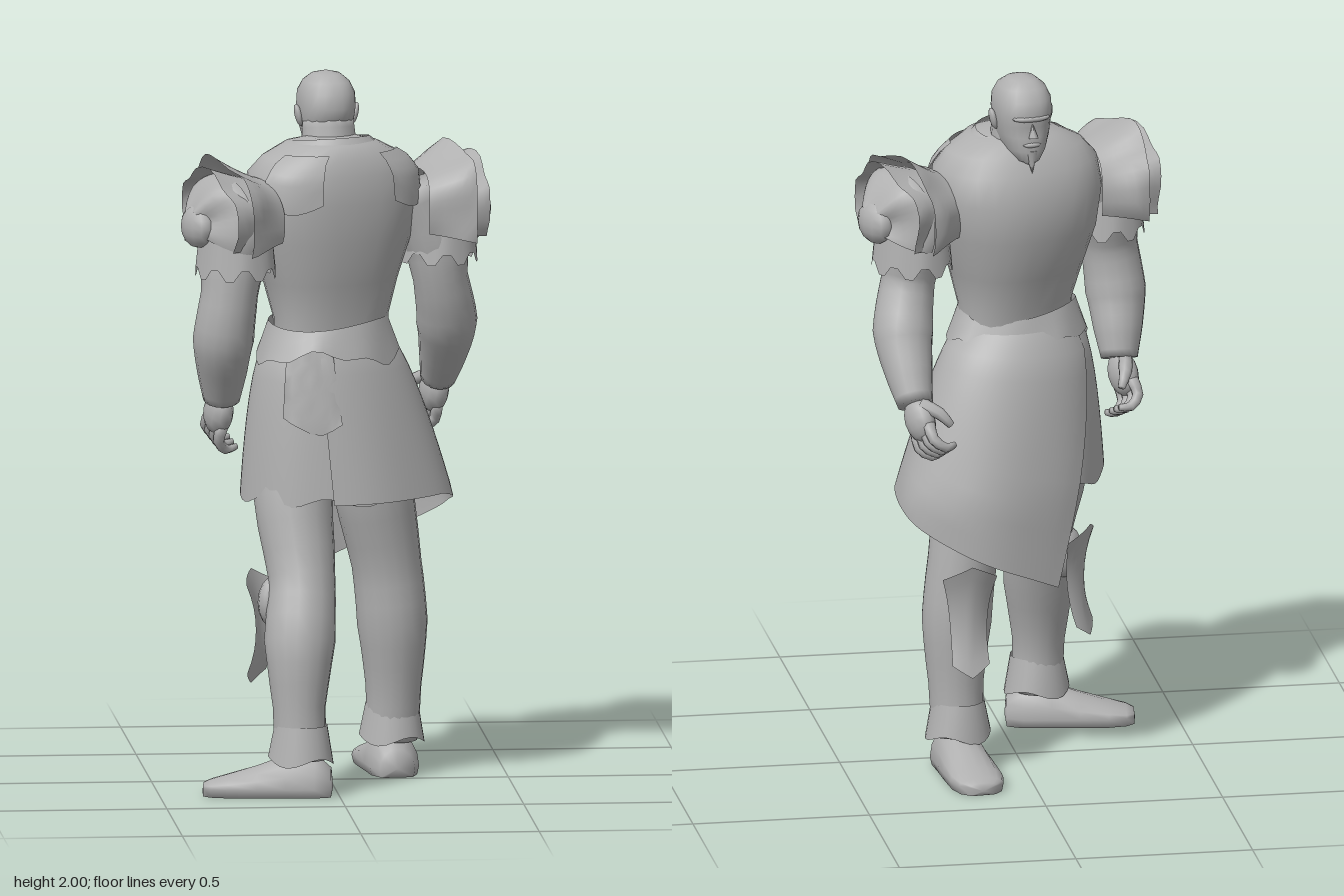
import * as THREE from 'three';
import { mergeVertices } from 'three/addons/utils/BufferGeometryUtils.js';

const grey = new THREE.MeshStandardMaterial({ color: 0xb0b0b0, side: THREE.DoubleSide });
grey.name = 'plain grey';
const RAD = Math.PI / 180, YAW = Math.PI + 0.41;
const lerp = THREE.MathUtils.lerp;

function add(parent, name, geometry, x = 0, y = 0, z = 0) {
  const m = new THREE.Mesh(geometry, grey);
  m.name = name;
  m.position.set(x, y, z);
  parent.add(m);
  return m;
}

function group(parent, name, x = 0, y = 0, z = 0, yaw = 0) {
  const g = new THREE.Group();
  g.name = name;
  g.position.set(x, y, z);
  g.rotation.y = yaw;
  parent.add(g);
  return g;
}

// Smooth grid surface from a function (u, v) -> [x, y, z]
function loft(nu, nv, f) {
  const pos = [], idx = [];
  for (let j = 0; j <= nv; j++) for (let i = 0; i <= nu; i++) pos.push(...f(i / nu, j / nv));
  for (let j = 0; j < nv; j++) for (let i = 0; i < nu; i++) {
    const a = j * (nu + 1) + i, b = a + nu + 1;
    idx.push(a, a + 1, b + 1, a, b + 1, b);
  }
  let g = new THREE.BufferGeometry();
  g.setAttribute('position', new THREE.Float32BufferAttribute(pos, 3));
  g.setIndex(idx);
  g = mergeVertices(g, 1e-4);
  g.computeVertexNormals();
  return g;
}

// Interpolates rows [key, a, b, ...] at a key value
function sample(rows, k) {
  let i = 0;
  while (i < rows.length - 2 && k > rows[i + 1][0]) i++;
  const p = rows[i], q = rows[i + 1];
  const t = THREE.MathUtils.clamp((k - p[0]) / (q[0] - p[0]), 0, 1);
  return p.map((n, c) => lerp(n, q[c], t));
}

const soft = (n, e) => Math.sign(n) * Math.abs(n) ** e;

// Point on a body section: rows are [y, half width, front depth, back depth]
function sectionPoint(rows, a, y, grow = 0) {
  const [, w, f, b] = sample(rows, y), c = Math.cos(a);
  return [soft(Math.sin(a), 0.85) * (w + grow), y, soft(c, 0.85) * ((c > 0 ? f : b) + grow)];
}

function sectionLoft(rows, nu) {
  return loft(nu, rows.length - 1, (u, v) =>
    sectionPoint(rows, u * 2 * Math.PI, rows[Math.round(v * (rows.length - 1))][0]));
}

// Round limb through points [x, y, z, radius]; ends are closed
function limb(pts, nu = 14, steps = 3) {
  const curve = new THREE.CatmullRomCurve3(pts.map((p) => new THREE.Vector3(p[0], p[1], p[2])));
  const radii = pts.map((p, i) => [i / (pts.length - 1), p[3]]);
  const n = (pts.length - 1) * steps, ref = new THREE.Vector3(0, 0, 1);
  return loft(nu, n + 2, (u, v) => {
    const j = Math.round(v * (n + 2)), t = THREE.MathUtils.clamp((j - 1) / n, 0, 1);
    const c = curve.getPoint(t), tan = curve.getTangent(t);
    const s = new THREE.Vector3().crossVectors(tan, ref).normalize();
    const w = new THREE.Vector3().crossVectors(s, tan);
    const r = j === 0 || j === n + 2 ? 0 : sample(radii, t)[1];
    c.addScaledVector(s, r * Math.cos(u * 2 * Math.PI)).addScaledVector(w, r * Math.sin(u * 2 * Math.PI));
    return c.toArray();
  });
}

const TORSO = [[1.22, 0.165, 0.12, 0.11], [1.32, 0.165, 0.13, 0.115], [1.42, 0.19, 0.165, 0.135],
  [1.54, 0.23, 0.2, 0.16], [1.65, 0.25, 0.205, 0.165], [1.73, 0.24, 0.175, 0.16],
  [1.775, 0.2, 0.14, 0.14], [1.81, 0.13, 0.11, 0.125], [1.825, 0.07, 0.05, 0.08], [1.826, 0, 0, 0]];
const HEAD = [[1.76, 0.02, 0.09, -0.04], [1.77, 0.042, 0.1, 0], [1.8, 0.06, 0.105, 0.05],
  [1.84, 0.071, 0.104, 0.08], [1.87, 0.076, 0.1, 0.098], [1.9, 0.08, 0.108, 0.104],
  [1.94, 0.078, 0.1, 0.098], [1.97, 0.064, 0.076, 0.078], [1.99, 0.04, 0.045, 0.045], [2, 0, 0, 0]];

function buildHead(root) {
  const g = group(root, 'head', -0.008, 0, -0.036, Math.PI + 0.15);
  add(g, 'skull', sectionLoft(HEAD, 24));
  add(g, 'neck', limb([[0, 1.7, -0.05, 0.1], [0, 1.79, -0.035, 0.08], [0, 1.87, -0.025, 0.072]]));
  add(g, 'brow', new THREE.SphereGeometry(1, 14, 8), 0, 1.896, 0.09).scale.set(0.055, 0.011, 0.022);
  const nose = add(g, 'nose', new THREE.ConeGeometry(0.014, 0.045, 6), 0, 1.864, 0.106);
  nose.rotation.x = -0.25;
  add(g, 'mouth', new THREE.SphereGeometry(1, 10, 6), 0, 1.82, 0.098).scale.set(0.027, 0.008, 0.012);
  const beard = add(g, 'goatee', new THREE.ConeGeometry(0.02, 0.065, 8), 0, 1.768, 0.095);
  beard.rotation.x = Math.PI - 0.15;
  for (const s of [-1, 1]) {
    const ear = add(g, 'ear', new THREE.SphereGeometry(1, 10, 8), s * 0.08, 1.875, -0.005);
    ear.scale.set(0.011, 0.032, 0.019);
    ear.rotation.z = -s * 0.25;
  }
}

function buildTorso(body) {
  add(body, 'torso', sectionLoft(TORSO, 28));
  // ragged waist wrap
  add(body, 'waistWrap', loft(40, 3, (u, v) => {
    const a = u * 2 * Math.PI, hem = 1.215 + 0.018 * Math.sin(3 * a) + 0.01 * Math.sin(8 * a);
    const y = lerp(hem, 1.305 + 0.012 * Math.sin(2 * a), v);
    return [0.01 + Math.sin(a) * (0.21 - 0.035 * v), y, Math.cos(a) * (0.165 - 0.03 * v)];
  }));
  // raised collar and shoulder blade plates
  add(body, 'collar', loft(28, 2, (u, v) => {
    const a = u * 2 * Math.PI;
    return [Math.sin(a) * (0.15 - 0.04 * v), 1.785 + 0.035 * v - 0.012 * Math.cos(a), Math.cos(a) * (0.125 - 0.025 * v)];
  }));
  for (const s of [-1, 1]) add(body, 'shoulderStrap', loft(8, 6, (u, v) =>
    sectionPoint(TORSO, s * lerp(108, 158, u) * RAD, lerp(1.66 - 0.03 * Math.sin(u * 3), 1.79, v), 0.012)));
}

function buildPauldron(body, s) {
  const cz = s > 0 ? -0.002 : -0.055;
  const g = group(body, s > 0 ? 'leftPauldron' : 'rightPauldron', 0, 0, cz);
  // overlapping lames: [inner x, outer x, inner radius, outer radius, depth, centre y]
  const lames = [[0.24, 0.365, 0.12, 0.18, 0.17, 1.605], [0.29, 0.41, 0.13, 0.155, 0.16, 1.6], [0.35, 0.455, 0.145, 0.04, 0.145, 1.595]];
  lames.forEach(([x0, x1, r0, r1, d, cy], k) => add(g, 'lame', loft(24, 6, (u, v) => {
    const p = lerp(-112, 112, u) * RAD;
    const r = lerp(r0, r1, v ** (k === 2 ? 2 : 1.2)) + 0.014 * Math.sin(5 * p + 2 * k) * v;
    const depth = Math.min(r, d) * 1.05;
    return [s * (lerp(x0, x1, v) - 0.025 * Math.sin(p) ** 2), cy + r * soft(Math.cos(p), 0.85), depth * soft(Math.sin(p), 0.8)];
  })));
  add(g, 'outerBoss', new THREE.SphereGeometry(1, 12, 8), s * 0.425, 1.6, 0).scale.set(0.04, 0.06, 0.07);
  // torn sleeve
  add(g, 'tornSleeve', loft(32, 3, (u, v) => {
    const a = u * 2 * Math.PI, r = 0.122 - 0.02 * v;
    const y = lerp(1.455 + (Math.round(u * 32) % 4 < 2 ? 0 : 0.03), 1.66, v);
    return [s * 0.32 + r * 0.9 * Math.sin(a), y, -0.03 - cz + r * Math.cos(a)];
  }));
}

function buildArm(root, name, pts, tilt) {
  const g = group(root, name);
  add(g, 'arm', limb(pts, 16, 4));
  const [x, y, z] = pts[pts.length - 1], s = Math.sign(x);
  const h = group(g, 'hand', x, y, z, YAW);
  h.rotation.order = 'YXZ';
  h.rotation.x = tilt;
  const palm = add(h, 'palm', new THREE.SphereGeometry(1, 12, 8), 0, -0.045, 0);
  palm.scale.set(0.038, 0.065, 0.056);
  // s is also the direction toward the thigh in the turned frame
  for (let i = 0; i < 4; i++) {
    const fz = -0.037 + i * 0.025;
    add(h, 'finger', limb([[0, -0.07, fz, 0.018], [-s * 0.003, -0.115, fz * 1.15, 0.016],
      [s * 0.028, -0.145, fz * 1.1, 0.014], [s * 0.062, -0.14, fz, 0.009]], 7, 2));
  }
  add(h, 'thumb', limb([[0, -0.01, 0.03, 0.022], [s * 0.03, -0.05, 0.06, 0.018], [s * 0.055, -0.09, 0.062, 0.011]], 7, 2));
}

function buildSkirt(root) {
  const hem = [[-10, 0.81], [60, 0.815], [105, 0.77], [150, 0.67], [188, 0.585], [205, 0.545]];
  const point = (deg, y, k) => {
    const t = Math.max(0, Math.min(1, (1.26 - y) / 0.46)), q = t ** 0.58, a = deg * RAD;
    const fold = 1 + 0.012 * t * Math.sin(a * 7);
    const x = Math.sin(a) * lerp(0.168, 0.308, q) * k * fold;
    return [lerp(-0.012, 0.045, t) + x, y,
      lerp(0.03, -0.005, q) + Math.cos(a) * lerp(0.14, 0.25, q) * k * fold - 0.18 * x];
  };
  // long wrap with its pointed front corner, then the shorter panel under it
  add(root, 'skirtWrap', loft(40, 10, (u, v) => {
    const d = lerp(-10, lerp(205, 242, v), u);
    return point(d, lerp(sample(hem, lerp(-10, 205, u))[1], 1.26, v), 1);
  }));
  add(root, 'skirtUnderPanel', loft(30, 8, (u, v) => {
    const d = lerp(212, 375, u);
    return point(d, lerp(0.815 + 0.012 * Math.sin(d * 0.15), 1.26, v), 0.97);
  }));
  // crumpled cloth tucked at the back
  add(root, 'tuckedCloth', loft(6, 6, (u, v) => {
    const p = point(lerp(-38, 0, u), lerp(1.0 + 0.09 * Math.abs(u - 0.6), 1.24, v), 1.03);
    p[2] += 0.012 * Math.sin(u * 9 + v * 5);
    return p;
  }));
}

function buildLeg(root, name, pts, toe, plate) {
  const g = group(root, name);
  add(g, 'leg', limb(pts, 18, 3));
  const [x, , z] = pts[pts.length - 1];
  // trouser cuff
  add(g, 'cuff', loft(24, 2, (u, v) => {
    const a = u * 2 * Math.PI, r = lerp(0.092, 0.074, v);
    return [x + r * Math.sin(a), lerp(0.1 + 0.012 * Math.sin(3 * a), 0.2, v), z + r * Math.cos(a)];
  }));
  // shoe: rows are [distance, half width, height]
  const rows = [[-0.09, 0, 0.05], [-0.085, 0.05, 0.08], [-0.04, 0.07, 0.12], [0.04, 0.072, 0.115],
    [0.12, 0.076, 0.085], [0.2, 0.077, 0.06], [0.25, 0.064, 0.045], [0.272, 0.04, 0.035], [0.275, 0, 0.025]];
  const shoe = group(g, 'foot', x, 0, z, toe);
  add(shoe, 'shoe', loft(16, rows.length - 1, (u, v) => {
    const [d, w, h] = rows[Math.round(v * (rows.length - 1))], a = u * 2 * Math.PI;
    const c = Math.cos(a), sn = Math.sin(a);
    return [w * c, w === 0 ? h / 2 : sn > 0 ? 0.025 + (h - 0.025) * sn : Math.max(-1, sn * 2.5) * 0.025 + 0.025, d];
  }));
  // curved shin guard with a peaked top
  const [px, pz, dir] = plate;
  add(g, 'shinGuard', loft(10, 8, (u, v) => {
    const a = dir + lerp(-1, 1, u) * lerp(0.38, 0.58, v), mid = 1 - Math.abs(2 * u - 1);
    const r = 0.118 + 0.026 * (2 * v - 1) ** 2 + 0.008 * mid;
    return [px + r * Math.sin(a), lerp(0.33 - 0.035 * mid, 0.58 + 0.04 * mid, v), pz + r * Math.cos(a)];
  }));
  const pad = add(g, 'kneePad', new THREE.SphereGeometry(1, 12, 8), px + 0.075 * Math.sin(dir), 0.53, pz + 0.075 * Math.cos(dir));
  pad.scale.set(0.06, 0.075, 0.045);
  pad.rotation.y = dir;
}

export function createModel() {
  const root = new THREE.Group();
  root.name = 'armouredWarrior';
  const body = group(root, 'upperBody', 0, 0, 0.04, YAW);
  buildTorso(body);
  for (const s of [-1, 1]) buildPauldron(body, s);
  buildHead(root);
  buildArm(root, 'rightArm', [[0.23, 1.67, -0.03, 0.09], [0.295, 1.52, -0.035, 0.092], [0.313, 1.41, -0.035, 0.077],
    [0.335, 1.28, -0.085, 0.086], [0.33, 1.18, -0.15, 0.068], [0.32, 1.1, -0.205, 0.05]], -0.55);
  buildArm(root, 'leftArm', [[-0.24, 1.67, 0.16, 0.09], [-0.285, 1.52, 0.195, 0.092], [-0.3, 1.41, 0.215, 0.08],
    [-0.316, 1.28, 0.205, 0.086], [-0.316, 1.18, 0.165, 0.07], [-0.315, 1.1, 0.135, 0.052]], -0.45);
  buildSkirt(root);
  buildLeg(root, 'leftLeg', [[-0.09, 1.05, 0.07, 0.1], [-0.112, 0.82, 0.11, 0.112], [-0.095, 0.6, 0.185, 0.094],
    [-0.106, 0.43, 0.25, 0.1], [-0.11, 0.25, 0.278, 0.074], [-0.106, 0.1, 0.285, 0.072]],
    Math.atan2(-0.98, -0.12), [-0.107, 0.215, Math.atan2(-0.8, -0.55)]);
  buildLeg(root, 'rightLeg', [[0.1, 1.05, -0.02, 0.1], [0.125, 0.82, -0.05, 0.114], [0.165, 0.6, -0.075, 0.098],
    [0.182, 0.43, -0.08, 0.099], [0.186, 0.25, -0.09, 0.078], [0.182, 0.1, -0.1, 0.073]],
    Math.atan2(-0.1, -1), [0.175, -0.07, Math.atan2(-0.1, -1)]);
  return root;
}
